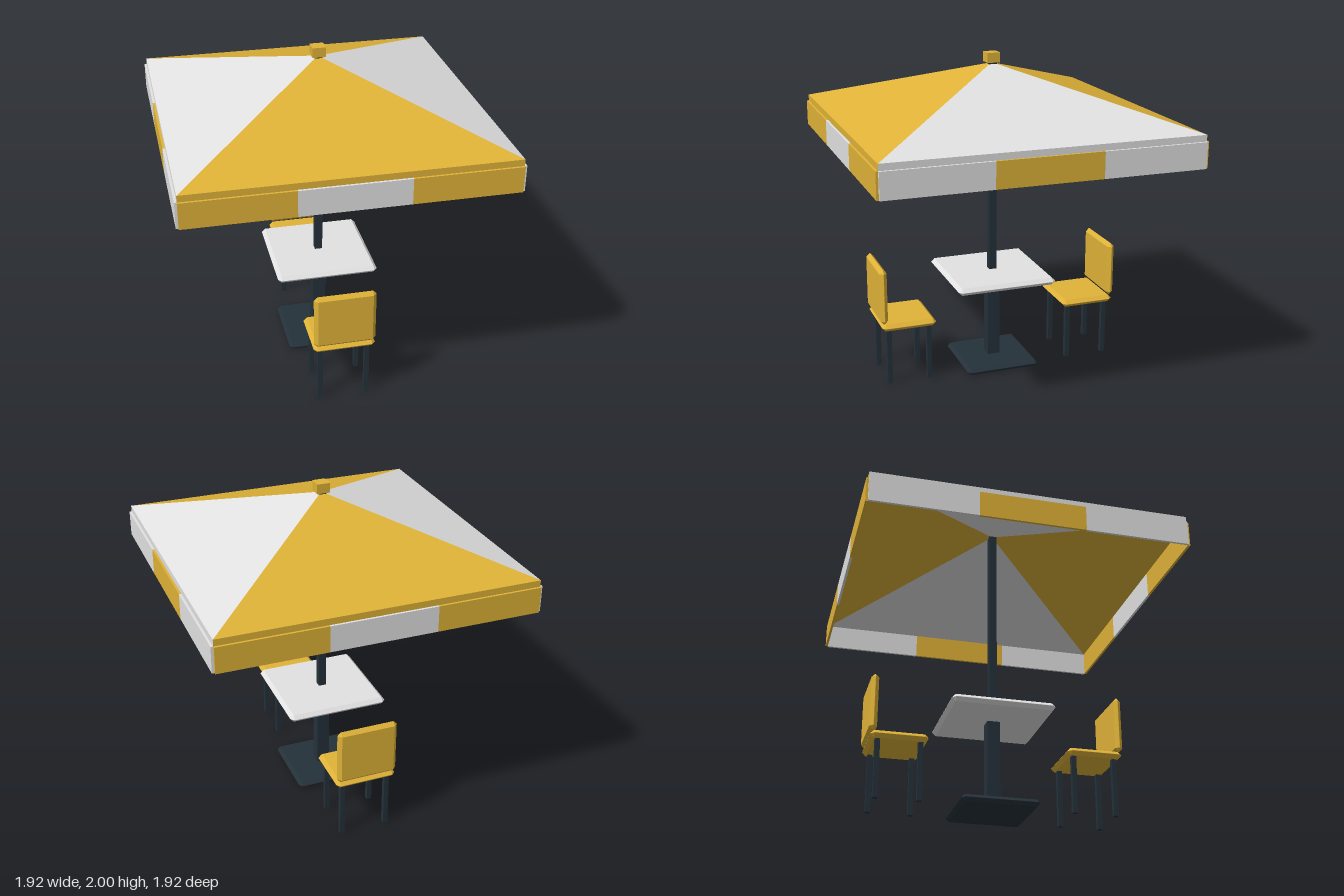
import * as THREE from 'three';
import { ConvexGeometry } from 'three/addons/geometries/ConvexGeometry.js';

export function createModel() {
  const material = (name, color) => {
    const m = new THREE.MeshStandardMaterial({ color });
    m.name = name;
    return m;
  };
  const yellow = material('yellow', 0xe0b338);
  const white = material('off white', 0xe2e2e2);
  const dark = material('dark metal', 0x25313a);

  const root = new THREE.Group();
  root.name = 'parasolTable';

  const add = (parent, name, geometry, mat, x = 0, y = 0, z = 0) => {
    const mesh = new THREE.Mesh(geometry, mat);
    mesh.name = name;
    mesh.position.set(x, y, z);
    parent.add(mesh);
    return mesh;
  };
  const box = (w, h, d) => new THREE.BoxGeometry(w, h, d);

  // Box with every edge chamfered by c
  const chamferBox = (w, h, d, c) => {
    const points = [];
    for (const sx of [-1, 1]) for (const sy of [-1, 1]) for (const sz of [-1, 1]) {
      const [x, y, z] = [w / 2, h / 2, d / 2];
      points.push(
        new THREE.Vector3(sx * x, sy * (y - c), sz * (z - c)),
        new THREE.Vector3(sx * (x - c), sy * y, sz * (z - c)),
        new THREE.Vector3(sx * (x - c), sy * (y - c), sz * z)
      );
    }
    return new ConvexGeometry(points);
  };

  // Stand and table
  add(root, 'base', chamferBox(0.47, 0.042, 0.47, 0.02), dark, 0, 0.021, 0);
  add(root, 'post', box(0.08, 0.55, 0.08), dark, 0, 0.31, 0);
  add(root, 'tabletop', chamferBox(0.63, 0.046, 0.63, 0.022), white, 0, 0.598, 0);
  add(root, 'pole', box(0.048, 1.33, 0.048), dark, 0, 1.275, 0);
  add(root, 'finial', box(0.08, 0.06, 0.08), yellow, 0, 1.97, 0);

  // One quarter of the canopy: outer slope, rim and inner slope
  const R = 0.947, EAVE = 1.625, RIM = 1.586, APEX = 1.937, INNER = 1.9;
  const panel = new THREE.BufferGeometry();
  panel.setAttribute('position', new THREE.Float32BufferAttribute([
    0, APEX, 0, -R, EAVE, R, R, EAVE, R,
    -R, EAVE, R, -R, RIM, R, R, RIM, R,
    -R, EAVE, R, R, RIM, R, R, EAVE, R,
    0, INNER, 0, R, RIM, R, -R, RIM, R
  ], 3));
  panel.computeVertexNormals();

  // Four sides with three-part valances in alternating colours
  for (let i = 0; i < 4; i++) {
    const side = new THREE.Group();
    side.name = 'canopySide';
    side.rotation.y = i * Math.PI / 2;
    const [main, accent] = i % 2 ? [white, yellow] : [yellow, white];
    add(side, 'canopyPanel', panel, main);
    for (const k of [-1, 0, 1]) {
      add(side, 'valance', box(R * 2 / 3, 0.156, 0.015), k ? main : accent,
        k * R * 2 / 3, 1.508, R + 0.0065);
    }
    root.add(side);
  }

  // Two chairs facing the table
  for (const turn of [0, Math.PI]) {
    const chair = new THREE.Group();
    chair.name = 'chair';
    chair.rotation.y = turn;
    add(chair, 'seat', chamferBox(0.376, 0.046, 0.342, 0.022), yellow, 0, 0.377, 0.594);
    add(chair, 'backrest', chamferBox(0.376, 0.352, 0.046, 0.022), yellow, 0, 0.577, 0.751);
    for (const x of [-0.143, 0.143]) for (const z of [0.466, 0.72]) {
      add(chair, 'leg', box(0.03, 0.357, 0.03), dark, x, 0.1785, z);
    }
    root.add(chair);
  }

  return root;
}
